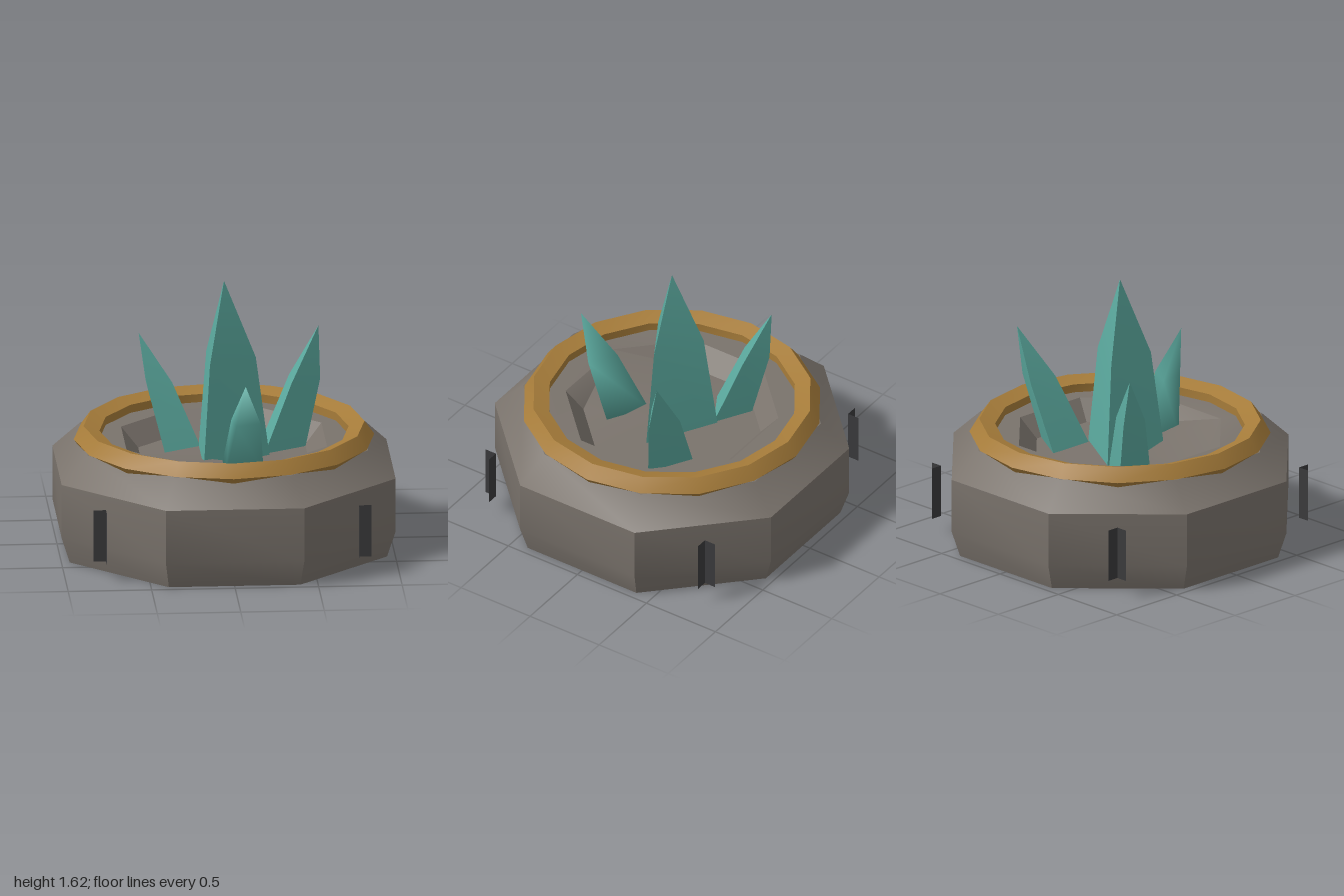
import * as THREE from 'three';
import { toCreasedNormals } from 'three/addons/utils/BufferGeometryUtils.js';

const CREASE = 0.57;
const FLOOR = 0.53;
const RIM = 0.65;

const material = (name, color, extra = {}) => {
  const m = new THREE.MeshStandardMaterial({ color, ...extra });
  m.name = name;
  return m;
};

function addMesh(parent, name, geometry, mat) {
  const mesh = new THREE.Mesh(geometry, mat);
  mesh.name = name;
  parent.add(mesh);
  return mesh;
}

// Octagonal base with a shallow pit; the profile gives distances to the flats
function baseGeometry() {
  const profile = [
    [0, 0], [0.95, 0], [1, 0.16], [1, 0.49], [0.84, RIM],
    [0.6, RIM], [0.5, FLOOR], [0, FLOOR],
  ].map(([a, y]) => new THREE.Vector2(a / Math.cos(Math.PI / 8), y));
  const g = new THREE.LatheGeometry(profile, 8, Math.PI / 8);
  // One front corner of the pit floor is worn up into the lip
  const p = g.attributes.position;
  const corner = new THREE.Vector3(-0.207, FLOOR, 0.5);
  const v = new THREE.Vector3();
  for (let i = 0; i < p.count; i++) {
    if (v.fromBufferAttribute(p, i).distanceTo(corner) < 0.01) {
      p.setXYZ(i, v.x * 1.19, RIM - 0.002, v.z * 1.19);
    }
  }
  return toCreasedNormals(g, CREASE);
}

// Three-sided shard with horizontal sections, leaning from its base to its tip
function crystalGeometry({ x, z, radius, tip, straightCorner = false }) {
  const height = tip[1] - FLOOR;
  const profile = [[0, 0], [radius, 0], [radius * 0.7, height * 0.56], [0, height]]
    .map(([r, y]) => new THREE.Vector2(r, y));
  const g = new THREE.LatheGeometry(profile, 3, Math.PI / 2);
  const p = g.attributes.position;
  for (let i = 0; i < p.count; i++) {
    const t = p.getY(i) / height;
    // A straight corner runs from base to tip without the bulge
    const waist = straightCorner && t > 0.1 && p.getZ(i) > 0.01 ? 0.44 / 0.7 : 1;
    p.setXYZ(i,
      p.getX(i) * waist + x + (tip[0] - x) * t,
      p.getY(i) + FLOOR,
      p.getZ(i) * waist + z + (tip[2] - z) * t);
  }
  return toCreasedNormals(g, straightCorner ? Math.PI : CREASE);
}

export function createModel() {
  const model = new THREE.Group();
  model.name = 'crystalPedestal';

  const stone = material('stone', 0x7a736c);
  const gold = material('gold', 0xa67c3a);
  const teal = material('tealCrystal', 0x5caba0);
  const dark = material('darkMetal', 0x3a3a3c, { side: THREE.DoubleSide });

  addMesh(model, 'stoneBase', baseGeometry(), stone);

  // Gold rim with a pentagonal section, resting around the pit
  const rim = new THREE.TorusGeometry(0.815, 0.085, 5, 16)
    .rotateX(Math.PI / 2)
    .translate(0, RIM, 0);
  addMesh(model, 'goldRim', toCreasedNormals(rim, CREASE), gold);

  // Crystals growing from the pit floor
  const crystals = new THREE.Group();
  crystals.name = 'crystals';
  model.add(crystals);
  const shards = {
    centreCrystal: { x: 0, z: 0, radius: 0.272, tip: [0, 1.62, 0] },
    leftCrystal: { x: 0.33, z: -0.17, radius: 0.17, tip: [0.585, 1.245, -0.29] },
    rightCrystal: { x: -0.275, z: -0.215, radius: 0.147, tip: [-0.485, 1.19, -0.39] },
    frontCrystal: {
      x: 0.055, z: 0.325, radius: 0.16, tip: [0.09, 1.135, 0.598], straightCorner: true,
    },
  };
  for (const [name, shard] of Object.entries(shards)) {
    addMesh(crystals, name, crystalGeometry(shard), teal);
  }

  // Upright angle brackets, two thin leaves each, off the diagonal faces
  const leaf = 0.075, inner = 0.757;
  for (const sx of [1, -1]) {
    for (const sz of [1, -1]) {
      const bracket = new THREE.Group();
      bracket.name = 'angleBracket';
      bracket.position.set(sx * inner, 0.27, sz * inner);
      const facing = new THREE.PlaneGeometry(leaf, 0.32);
      if (sz < 0) facing.rotateY(Math.PI);
      facing.translate(sx * leaf / 2, 0, 0);
      addMesh(bracket, 'bracketFrontLeaf', facing, dark);
      const side = new THREE.PlaneGeometry(leaf, 0.32).rotateY(sx * Math.PI / 2);
      side.translate(0, 0, sz * leaf / 2);
      addMesh(bracket, 'bracketSideLeaf', side, dark);
      model.add(bracket);
    }
  }

  return model;
}
